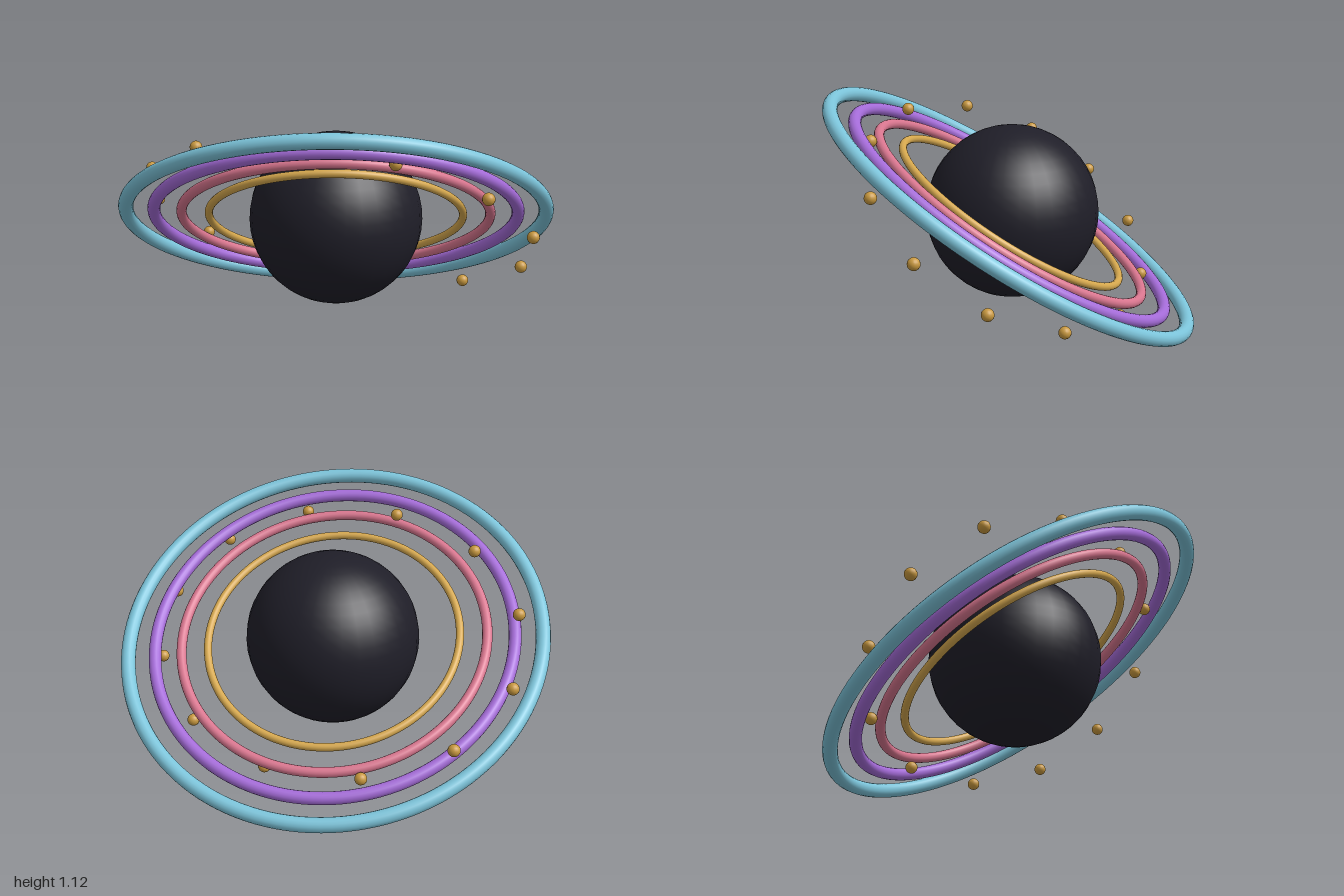
import * as THREE from 'three';

const paint = (name, color) => {
  const material = new THREE.MeshStandardMaterial({ color });
  material.name = name;
  return material;
};

export function createModel() {
  const model = new THREE.Group();
  model.name = 'ringedPlanet';
  const centreY = 0.56;

  const dark = paint('midnight', 0x1f1e28);
  const amber = paint('amber', 0xc9993f);

  // Central globe
  const globe = new THREE.Mesh(new THREE.SphereGeometry(0.41, 32, 24), dark);
  globe.name = 'globe';
  globe.position.y = centreY;
  model.add(globe);

  // Four concentric rings sharing one tilted plane
  const rings = new THREE.Group();
  rings.name = 'rings';
  rings.position.y = centreY;
  const normal = new THREE.Vector3(-0.235, 0.848, -0.476).normalize();
  rings.quaternion.setFromUnitVectors(new THREE.Vector3(0, 0, 1), normal);
  const ringSpecs = [
    ['goldRing', 0.602, 0.019, paint('gold', 0xd6a84e)],
    ['pinkRing', 0.73, 0.024, paint('rose', 0xd9768f)],
    ['purpleRing', 0.859, 0.03, paint('violet', 0xa56cd9)],
    ['blueRing', 0.989, 0.035, paint('skyBlue', 0x7cc4da)],
  ];
  for (const [name, radius, tube, material] of ringSpecs) {
    const ring = new THREE.Mesh(new THREE.TorusGeometry(radius, tube, 16, 128), material);
    ring.name = name;
    rings.add(ring);
  }
  model.add(rings);

  // Twelve small moons evenly stepped around an elliptical orbit
  const moons = new THREE.Group();
  moons.name = 'moons';
  moons.position.y = centreY;
  const axisA = new THREE.Vector3(0.963, 0, -0.065);
  const axisB = new THREE.Vector3(0.04, 0.446, 0.552);
  const moonGeometry = new THREE.SphereGeometry(0.029, 16, 12);
  for (let i = 0; i < 12; i++) {
    const angle = (i / 12) * Math.PI * 2;
    const moon = new THREE.Mesh(moonGeometry, amber);
    moon.name = `moon${i + 1}`;
    moon.position.addScaledVector(axisA, Math.cos(angle)).addScaledVector(axisB, Math.sin(angle));
    moons.add(moon);
  }
  model.add(moons);

  return model;
}
